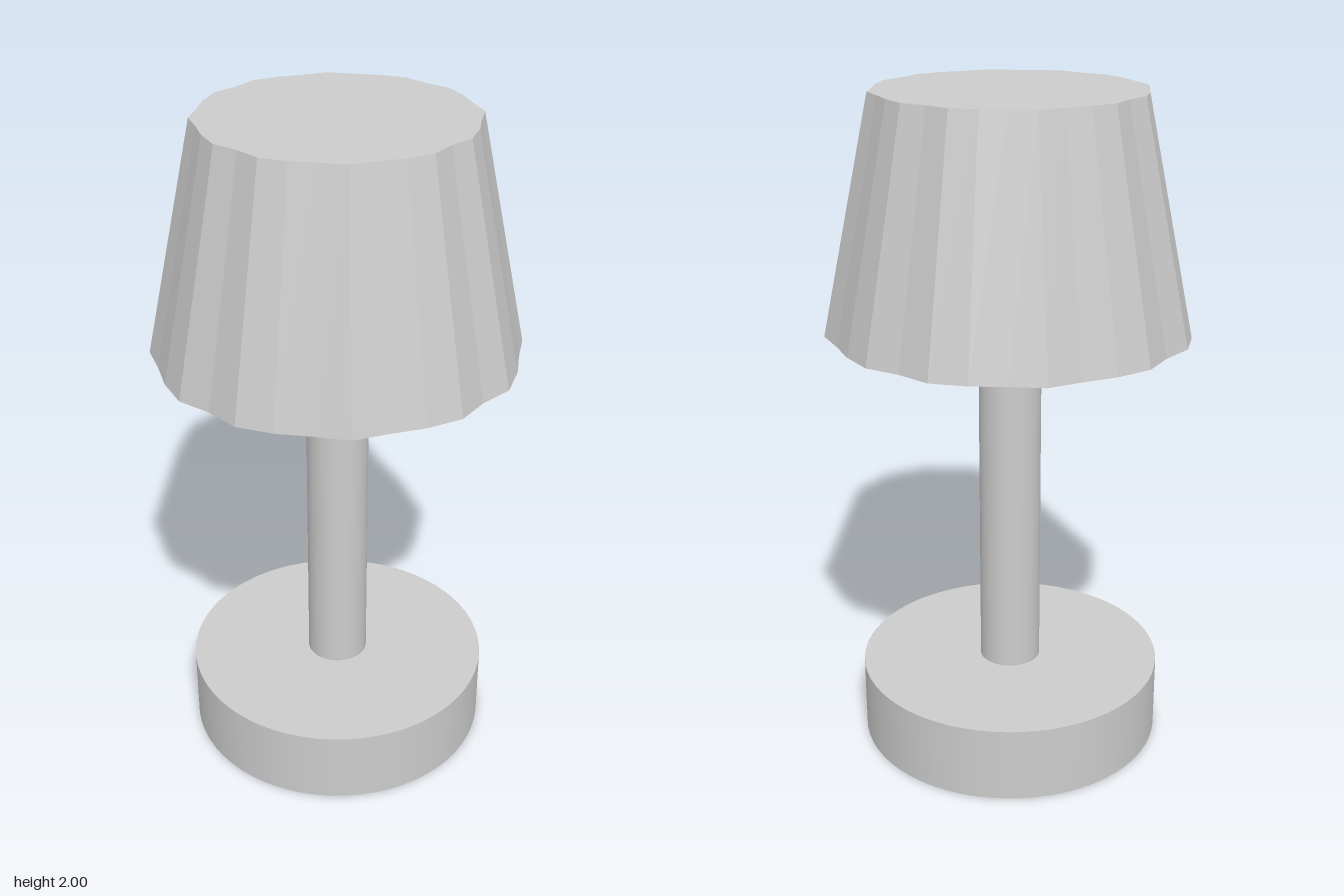
import * as THREE from 'three';

const BASE_TOP = 0.23, SHADE_BOTTOM = 1.315, SHADE_TOP = 2;
const TOP_SCALE = 0.73; // upper rim relative to lower rim

// One quarter of the scalloped lower rim, as [x, z] running from +z towards +x
const QUARTER = [
  [0, 0.54], [0.1, 0.512], [0.2, 0.49], [0.3, 0.448],
  [0.367, 0.367], [0.448, 0.3], [0.49, 0.2], [0.512, 0.1],
];

// Repeat the quarter around the axis
function rimOutline() {
  const points = [];
  let quarter = QUARTER;
  for (let q = 0; q < 4; q++) {
    points.push(...quarter);
    quarter = quarter.map(([x, z]) => [z, -x]);
  }
  return points;
}

export function createModel() {
  const group = new THREE.Group();
  const smooth = new THREE.MeshStandardMaterial({ color: 0xcccccc });
  const faceted = new THREE.MeshStandardMaterial({
    color: 0xcccccc, flatShading: true, side: THREE.DoubleSide,
  });

  function add(name, geometry, material, y, parent = group) {
    const mesh = new THREE.Mesh(geometry, material);
    mesh.name = name;
    mesh.position.y = y;
    parent.add(mesh);
    return mesh;
  }

  // Round foot and upright post
  add('base', new THREE.CylinderGeometry(0.463, 0.463, BASE_TOP, 64), smooth, BASE_TOP / 2);
  const postHeight = SHADE_TOP - 0.01 - BASE_TOP;
  add('post', new THREE.CylinderGeometry(0.093, 0.093, postHeight, 48), smooth, BASE_TOP + postHeight / 2);

  // Tapered shade: an open cylinder whose two rims follow the scalloped outline
  const shade = new THREE.Group();
  shade.name = 'lampshade';
  group.add(shade);
  const outline = rimOutline();
  const n = outline.length;
  const height = SHADE_TOP - SHADE_BOTTOM;
  const wall = new THREE.CylinderGeometry(1, 1, height, n, 1, true);
  const pos = wall.attributes.position;
  for (let i = 0; i < pos.count; i++) {
    const [x, z] = outline[(i % (n + 1)) % n];
    const s = pos.getY(i) > 0 ? TOP_SCALE : 1;
    pos.setX(i, x * s);
    pos.setZ(i, z * s);
  }
  wall.computeVertexNormals();
  add('shadeWall', wall, faceted, SHADE_BOTTOM + height / 2, shade);

  // Flat lid closing the top of the shade
  const lidShape = new THREE.Shape(
    outline.map(([x, z]) => new THREE.Vector2(x * TOP_SCALE, -z * TOP_SCALE)));
  const lid = new THREE.ShapeGeometry(lidShape).rotateX(-Math.PI / 2);
  add('shadeLid', lid, faceted, SHADE_TOP, shade);

  return group;
}
